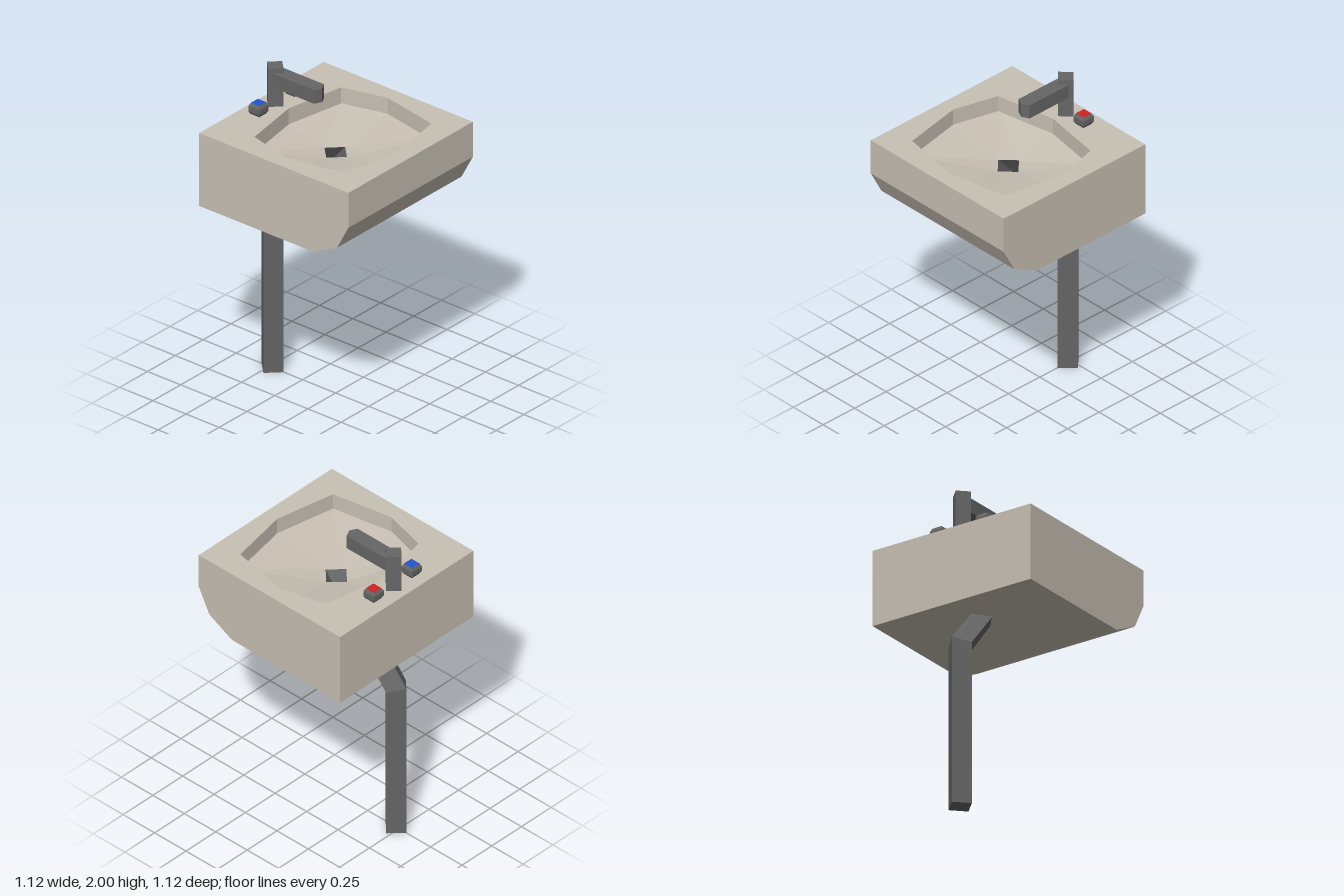
import * as THREE from 'three';

const mat = (name, color, extra = {}) => Object.assign(new THREE.MeshStandardMaterial({ color, ...extra }), { name });

// Flat-shaded mesh from convex polygons, each an array of [x, y, z] corners
function faces(name, polys, material) {
  const pos = [];
  for (const p of polys)
    for (let i = 1; i < p.length - 1; i++) pos.push(...p[0], ...p[i], ...p[i + 1]);
  const geo = new THREE.BufferGeometry();
  geo.setAttribute('position', new THREE.Float32BufferAttribute(pos, 3));
  geo.computeVertexNormals();
  const mesh = new THREE.Mesh(geo, material);
  mesh.name = name;
  return mesh;
}

// Quads joining successive rings (counterclockwise seen from the end), with optional caps
function loft(rings, { start = false, end = false, skip = -1 } = {}) {
  const polys = [];
  for (let r = 0; r < rings.length - 1; r++) {
    const a = rings[r], b = rings[r + 1];
    a.forEach((p, i) => {
      const j = (i + 1) % a.length;
      if (i !== skip) polys.push([p, a[j], b[j], b[i]]);
    });
  }
  if (start) polys.push([...rings[0]].reverse());
  if (end) polys.push(rings[rings.length - 1]);
  return polys;
}

// Four-cornered rings: a diamond (optionally tilted about x) and a square
const diamond = (r, y, z, tilt = 0) =>
  [[r, y, z], [0, y + r * tilt, z - r], [-r, y, z], [0, y - r * tilt, z + r]];
const square = (h, x, y, z) =>
  [[x + h, y, z + h], [x + h, y, z - h], [x - h, y, z - h], [x - h, y, z + h]];

export function createModel() {
  const ceramic = mat('ceramic', 0xc8c0b4);
  const metal = mat('metal', 0x666666);
  const pipeMetal = mat('pipe metal', 0x646464, { side: THREE.DoubleSide });
  const red = mat('hot red', 0xcc2222);
  const blue = mat('cold blue', 0x2255cc);
  const model = new THREE.Group();
  model.name = 'washbasin';

  // Basin body: side profile (z, y) swept across x, top left open
  const W = 0.56, TOP = 1.75;
  const profile = [[-0.56, TOP], [0.565, TOP], [0.565, 1.52], [0.48, 1.36], [0.3, 1.27], [-0.56, 1.27]];
  const section = x => profile.map(([z, y]) => [x, y, z]);
  model.add(faces('basinBody', loft([section(-W), section(W)], { start: true, end: true, skip: 0 }), ceramic));

  // Rim: flat top with an eight-cornered opening (x, z)
  const opening = [[0.465, 0], [0.39, -0.285], [0, -0.355], [-0.39, -0.285],
    [-0.465, 0], [-0.39, 0.395], [0, 0.47], [0.39, 0.395]];
  const flat = pts => pts.map(([x, z]) => new THREE.Vector2(x, -z));
  const rimShape = new THREE.Shape(flat([[-W, 0.565], [W, 0.565], [W, -0.56], [-W, -0.56]]));
  rimShape.holes.push(new THREE.Path(flat(opening)));
  const rim = new THREE.Mesh(new THREE.ShapeGeometry(rimShape).rotateX(-Math.PI / 2), ceramic);
  rim.position.y = TOP;
  rim.name = 'basinRim';
  model.add(rim);

  // Bowl: upright wall, then a floor falling to the drain
  const ring = y => opening.map(([x, z]) => [x, y, z]);
  const edge = ring(1.645), drainY = 1.585;
  const drain = diamond(0.085, drainY, 0);
  model.add(faces('bowlWall', loft([ring(TOP), edge]), ceramic));
  const floor = [];
  for (let k = 0; k < 4; k++) {
    const a = edge[2 * k], c = edge[2 * k + 1], b = edge[(2 * k + 2) % 8];
    const da = drain[k], db = drain[(k + 1) % 4];
    floor.push([a, c, da], [c, db, da], [c, b, db]);
  }
  model.add(faces('bowlFloor', floor, ceramic));

  // Waste pipe: upright from the ground, bent forward to the drain, open at the top
  model.add(faces('wastePipe', loft([
    diamond(0.083, 0, -0.475),
    diamond(0.083, 1.027, -0.475, 0.33),
    drain,
  ], { start: true }), pipeMetal));

  // Tap: diamond column and a spout with a pointed end
  const column = y => diamond(0.063, y, -0.456);
  model.add(faces('tapColumn', loft([column(TOP), column(2)], { start: true, end: true }), metal));
  const spout = y => [[0.046, -0.435], [0, -0.46], [-0.046, -0.435], [-0.046, -0.125], [0, -0.102], [0.046, -0.125]]
    .map(([x, z]) => [x, y, z]);
  model.add(faces('tapSpout', loft([spout(1.88), spout(1.97)], { start: true, end: true }), metal));

  // Knobs: chamfered blocks with a coloured top face
  for (const [name, x, colour] of [['hot', 0.16, red], ['cold', -0.16, blue]]) {
    const z = -0.448;
    const rings = [[0.032, TOP], [0.042, 1.768], [0.042, 1.802], [0.032, 1.823]].map(([h, y]) => square(h, x, y, z));
    model.add(faces(name + 'Knob', loft(rings, { start: true }), metal));
    model.add(faces(name + 'KnobTop', [rings[3]], colour));
  }
  return model;
}
